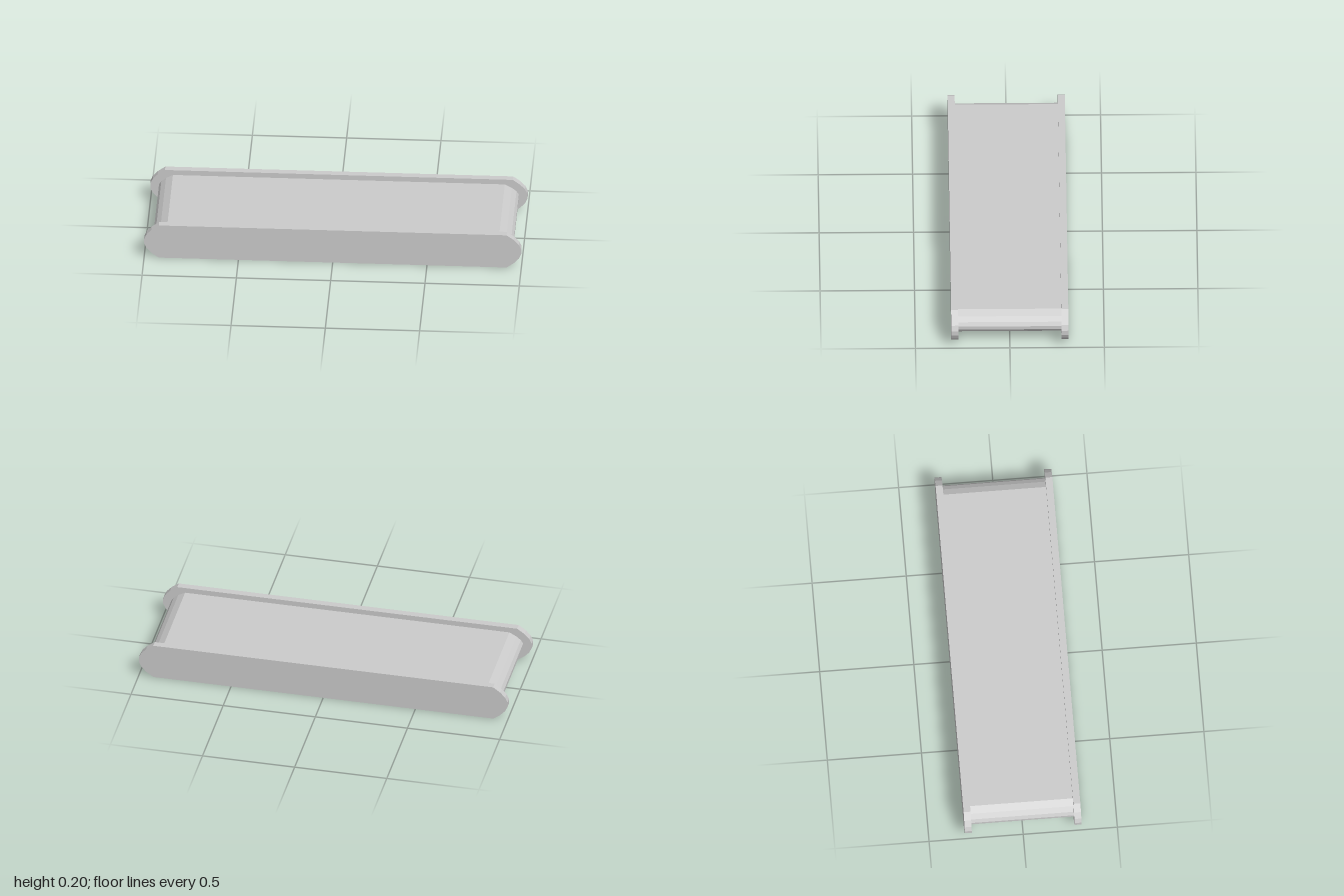
import * as THREE from 'three';

const BANDS = 7; // facets around each rounded end

// Long slab outline with faceted parabolic ends; flat part spans -straight..straight
function slabShape(straight, reach, y0, y1) {
  const bulge = (t) => (reach - straight) * t * (1 - t) * (49 / 12);
  const points = [];
  for (const side of [1, -1]) {
    for (let i = 0; i <= BANDS; i++) {
      const t = i / BANDS;
      const y = side > 0 ? y0 + (y1 - y0) * t : y1 - (y1 - y0) * t;
      points.push(new THREE.Vector2(side * (straight + bulge(t)), y));
    }
  }
  return new THREE.Shape(points);
}

export function createModel() {
  const group = new THREE.Group();
  group.name = 'conveyor';
  const material = new THREE.MeshStandardMaterial({ color: 0xcccccc, flatShading: true });

  const addSlab = (name, shape, depth, zCenter) => {
    const geometry = new THREE.ExtrudeGeometry(shape, { depth, bevelEnabled: false });
    geometry.translate(0, 0, zCenter - depth / 2);
    const mesh = new THREE.Mesh(geometry, material);
    mesh.name = name;
    group.add(mesh);
  };

  // Belt running between the side rails
  addSlab('belt', slabShape(0.88, 0.954, 0.029, 0.168), 0.546, 0);

  // Raised rails at the front and back
  const rail = slabShape(0.922, 1, 0, 0.197);
  addSlab('frontRail', rail, 0.037, 0.2915);
  addSlab('backRail', rail, 0.037, -0.2915);

  return group;
}
